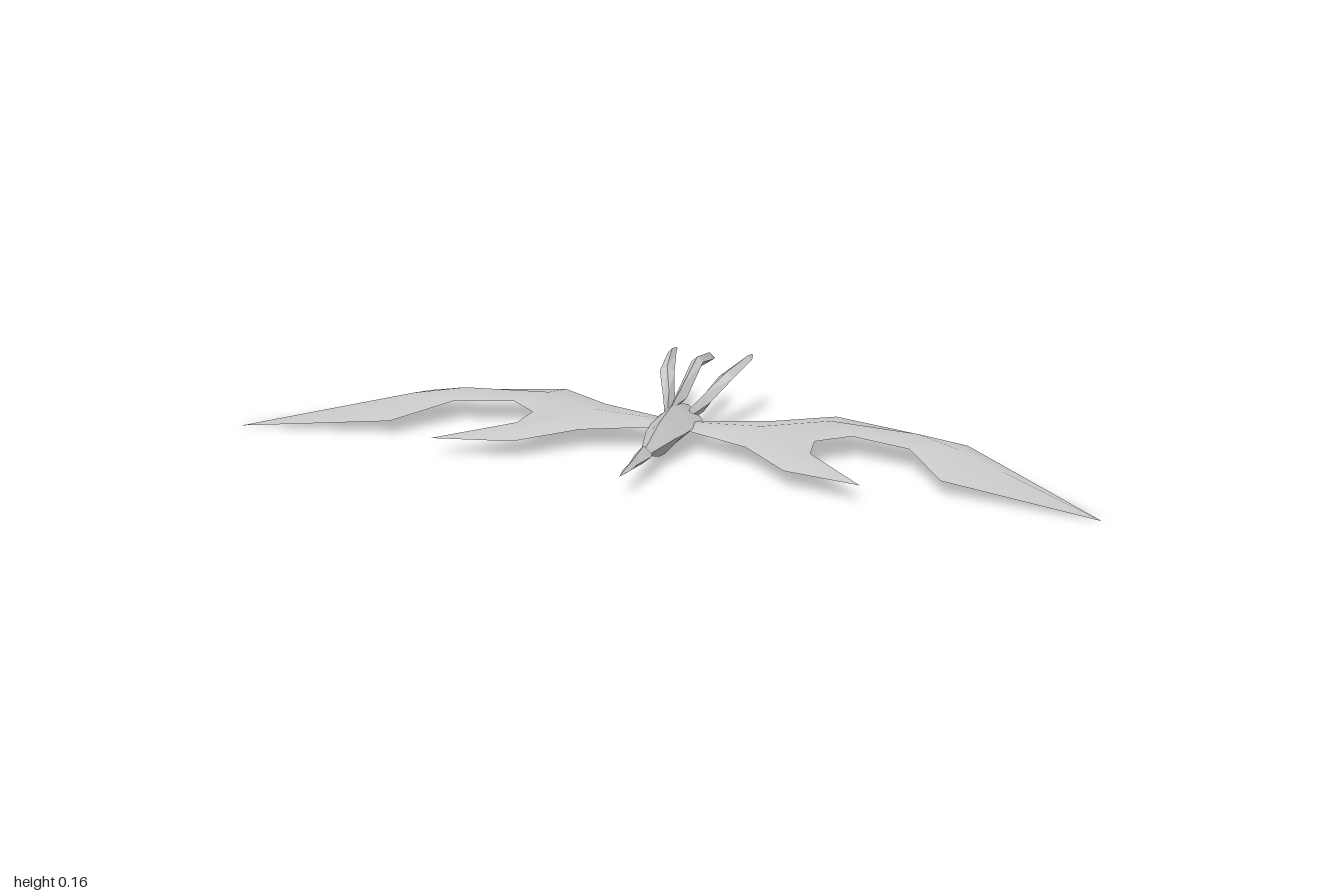
import * as THREE from 'three';
import { mergeVertices } from 'three/addons/utils/BufferGeometryUtils.js';

const grey = new THREE.MeshStandardMaterial({ color: 0xcccccc });
grey.name = 'pale grey';

function geometryFrom(points) {
  const g = new THREE.BufferGeometry();
  g.setAttribute('position', new THREE.Float32BufferAttribute(points.flat(), 3));
  return g;
}

function addMesh(group, name, geometry) {
  const m = new THREE.Mesh(geometry, grey);
  m.name = name;
  group.add(m);
}

// Faceted loft of four-cornered rings, front to back.
// Each section: [z, centre x, half width, top y, side y, bottom y]
function loft(sections, side = 1) {
  const rings = sections.map(([z, x, w, top, mid, bottom]) => [
    [side * x + w, mid, z], [side * x, top, z], [side * x - w, mid, z], [side * x, bottom, z],
  ]);
  const pts = [];
  for (let i = 0; i < rings.length - 1; i++) {
    for (let k = 0; k < 4; k++) {
      const n = (k + 1) % 4;
      const a = rings[i][k], b = rings[i][n], c = rings[i + 1][k], d = rings[i + 1][n];
      pts.push(a, c, b, b, c, d);
    }
  }
  const g = geometryFrom(pts);
  g.computeVertexNormals();
  return g;
}

// One smooth skin of a wing; strips of [leading, ridge, trailing] points.
// Ridge points are lowered by drop to make the underside.
function wingSkin(strips, side, drop, under) {
  const pts = [];
  const flip = (side < 0) !== under;
  const tri = (a, b, c) => {
    const area = new THREE.Vector3().subVectors(new THREE.Vector3(...b), new THREE.Vector3(...a))
      .cross(new THREE.Vector3().subVectors(new THREE.Vector3(...c), new THREE.Vector3(...a)));
    if (area.length() > 1e-9) pts.push(...(flip ? [a, c, b] : [a, b, c]));
  };
  for (const strip of strips) {
    const rows = strip.map((s) => s.map(([x, y, z, ridge]) => [side * x, y - (ridge ? drop : 0), z]));
    for (let i = 0; i < rows.length - 1; i++) {
      for (let k = 0; k < 2; k++) {
        const p = rows[i][k], q = rows[i][k + 1], r = rows[i + 1][k], s = rows[i + 1][k + 1];
        tri(p, q, r);
        tri(q, s, r);
      }
    }
  }
  const g = mergeVertices(geometryFrom(pts));
  g.computeVertexNormals();
  return g;
}

export function createModel() {
  const model = new THREE.Group();
  model.name = 'bird';

  // Beak, head and body in one spindle
  addMesh(model, 'body', loft([
    [0.335, 0, 0, 0.052, 0.052, 0.052],
    [0.285, 0, 0.009, 0.058, 0.051, 0.045],
    [0.25, 0, 0.009, 0.061, 0.051, 0.041],
    [0.18, 0, 0.02, 0.071, 0.049, 0.032],
    [0.16, 0, 0.013, 0.063, 0.051, 0.042],
    [0.07, 0, 0.035, 0.092, 0.056, 0.012],
    [0.03, 0, 0.045, 0.098, 0.056, 0.006],
    [-0.03, 0, 0.052, 0.106, 0.056, 0.008],
    [-0.08, 0, 0.052, 0.092, 0.058, 0.02],
    [-0.135, 0, 0.01, 0.072, 0.064, 0.055],
  ]));

  // Central tail plume
  addMesh(model, 'middleTailPlume', loft([
    [-0.02, 0, 0.004, 0.107, 0.1, 0.092],
    [-0.08, 0, 0.014, 0.126, 0.105, 0.09],
    [-0.2, 0, 0.014, 0.168, 0.156, 0.14],
    [-0.29, 0, 0.011, 0.153, 0.138, 0.13],
    [-0.335, 0, 0, 0.127, 0.127, 0.127],
  ]));

  // Wing strips
  const root = [[0.02, 0.056, -0.065], [0.02, 0.062, -0.04, true], [0.02, 0.054, -0.01]];
  const inner = [[0.2, 0.054, -0.13], [0.2, 0.068, -0.045, true], [0.195, 0.05, 0.055]];
  const notch = [0.335, 0.058, -0.01];
  const shoulder = [0.33, 0.052, -0.215], ridge = [0.34, 0.069, -0.13, true];
  const tip = [1, 0.003, 0.145], claw = [0.495, 0.046, 0.208];
  const strips = [
    [root, inner],
    [[inner[0], inner[1], inner[1]], [shoulder, ridge, notch],
      [shoulder, ridge, [0.405, 0.058, -0.07]],
      [[0.545, 0.043, -0.172], [0.545, 0.066, -0.11, true], [0.545, 0.054, -0.035]],
      [[0.65, 0.037, -0.15], [0.65, 0.06, -0.05, true], [0.645, 0.037, 0.1]],
      [tip, tip, tip]],
    [[notch, inner[1], inner[2]],
      [[0.345, 0.053, 0.06], [0.29, 0.06, 0.09, true], [0.315, 0.044, 0.165]],
      [claw, claw, claw]],
  ];

  for (const side of [1, -1]) {
    const label = side > 0 ? 'left' : 'right';
    const wing = new THREE.Group();
    wing.name = label + 'Wing';
    addMesh(wing, label + 'WingTop', wingSkin(strips, side, 0, false));
    addMesh(wing, label + 'WingUnderside', wingSkin(strips, side, 0.022, true));
    model.add(wing);

    // Outer tail plumes, spreading outward
    addMesh(model, label + 'TailPlume', loft([
      [-0.06, 0.025, 0.008, 0.085, 0.072, 0.055],
      [-0.12, 0.042, 0.014, 0.105, 0.085, 0.064],
      [-0.195, 0.072, 0.018, 0.139, 0.127, 0.115],
      [-0.295, 0.093, 0.01, 0.153, 0.143, 0.134],
      [-0.325, 0.093, 0.003, 0.148, 0.146, 0.144],
    ], side));
  }
  return model;
}
